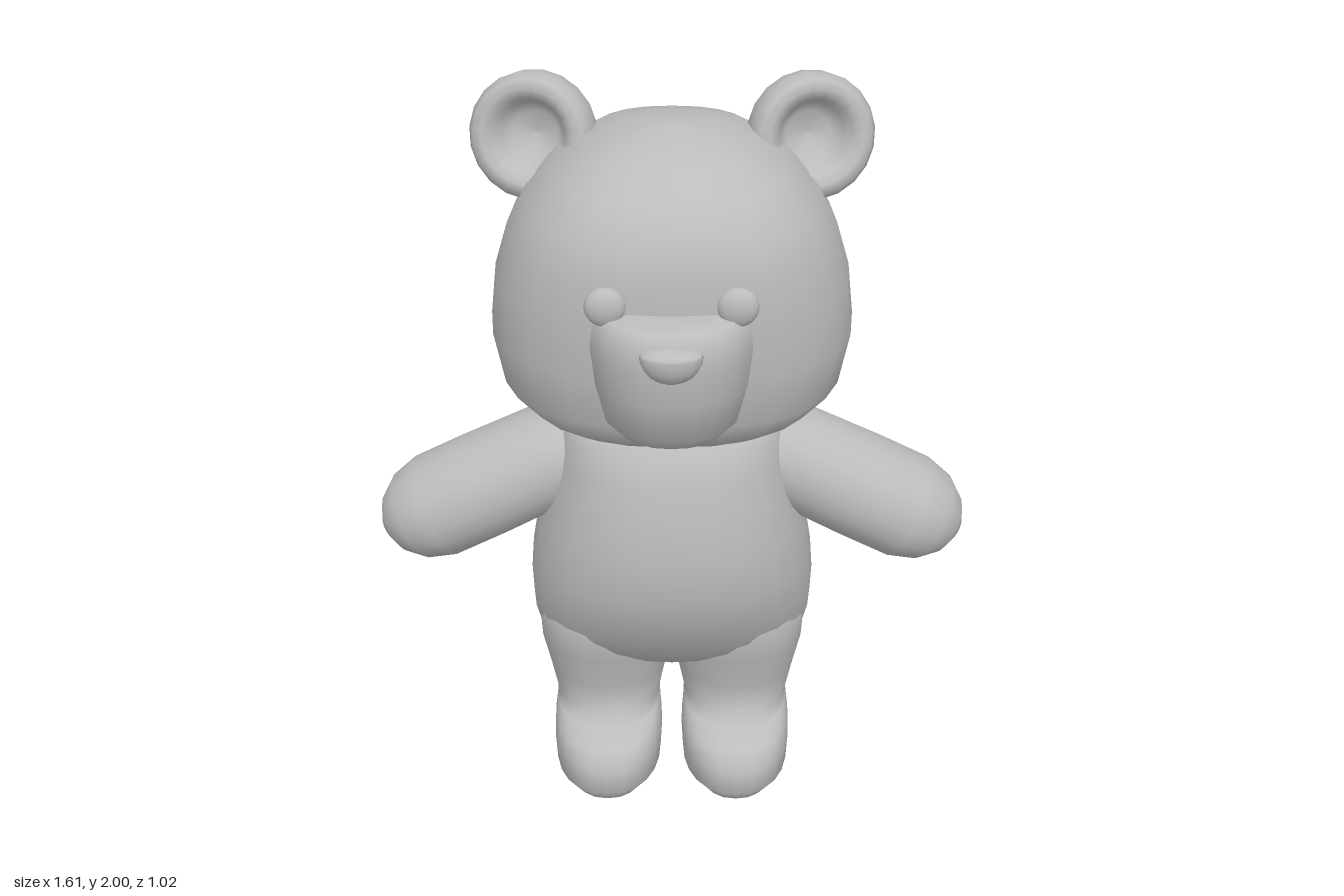
import * as THREE from 'three';

const fur = new THREE.MeshStandardMaterial({ color: 0xbcbcbc });
fur.name = 'plain grey';

// Closed skin over horizontal rounded rings: [y, half width, back z, front z].
// Repeating a ring makes a hard edge there.
function loft(rings, cx = 0, power = 2.3, segments = 24) {
  const pos = [], index = [];
  const round = (v) => Math.sign(v) * Math.pow(Math.abs(v), 2 / power);
  for (const [y, rx, back, front] of rings) {
    const cz = (front + back) / 2, rz = (front - back) / 2;
    for (let i = 0; i < segments; i++) {
      const t = (i / segments) * Math.PI * 2;
      pos.push(cx + rx * round(Math.cos(t)), y, cz + rz * round(Math.sin(t)));
    }
  }
  const last = (rings.length - 1) * segments;
  const bottom = rings.length * segments, top = bottom + 1;
  for (const [y, , back, front] of [rings[0], rings[rings.length - 1]]) {
    pos.push(cx, y, (front + back) / 2);
  }
  for (let i = 0; i < segments; i++) {
    const k = (i + 1) % segments;
    for (let j = 0; j < last; j += segments) {
      const a = j + i, b = j + k, c = a + segments, d = b + segments;
      index.push(a, c, b, b, c, d);
    }
    index.push(bottom, i, k, top, last + k, last + i);
  }
  const geo = new THREE.BufferGeometry();
  geo.setAttribute('position', new THREE.Float32BufferAttribute(pos, 3));
  geo.setIndex(index);
  geo.computeVertexNormals();
  return geo;
}

export function createModel() {
  const model = new THREE.Group();
  model.name = 'teddyBear';
  const add = (name, geo, x = 0, y = 0, z = 0) => {
    const mesh = new THREE.Mesh(geo, fur);
    mesh.name = name;
    mesh.position.set(x, y, z);
    model.add(mesh);
    return mesh;
  };

  // Broad head, wider at the cheeks
  add('head', loft([
    [1.09, 0.26, -0.27, 0.18], [1.11, 0.32, -0.33, 0.23], [1.15, 0.385, -0.4, 0.29],
    [1.22, 0.45, -0.45, 0.335], [1.36, 0.48, -0.5, 0.355], [1.5, 0.465, -0.51, 0.36],
    [1.62, 0.43, -0.485, 0.358], [1.72, 0.38, -0.44, 0.335], [1.8, 0.305, -0.38, 0.275],
    [1.86, 0.215, -0.28, 0.18], [1.89, 0.12, -0.17, 0.07], [1.903, 0.03, -0.08, -0.02],
  ], 0, 2.4));

  // Muzzle with a flat top
  add('muzzle', loft([
    [1.13, 0.1, 0, 0.25], [1.18, 0.15, -0.04, 0.36], [1.24, 0.185, -0.04, 0.435],
    [1.35, 0.21, -0.06, 0.47], [1.45, 0.22, -0.06, 0.48], [1.51, 0.215, -0.06, 0.475],
    [1.54, 0.195, -0.05, 0.45], [1.55, 0.15, -0.02, 0.4],
  ]));

  // Nose: a ball with its upper half flattened
  const nose = new THREE.SphereGeometry(1, 16, 12);
  const p = nose.attributes.position;
  for (let i = 0; i < p.count; i++) {
    p.setXYZ(i, p.getX(i) * 0.078, p.getY(i) * (p.getY(i) > 0 ? 0.023 : 0.073), p.getZ(i) * 0.047);
  }
  nose.computeVertexNormals();
  add('nose', nose, 0, 1.495, 0.466);

  // Torso with round belly and rump
  add('body', loft([
    [0.34, 0.16, -0.14, 0.1], [0.38, 0.3, -0.2, 0.155], [0.43, 0.375, -0.27, 0.205],
    [0.5, 0.393, -0.335, 0.25], [0.58, 0.396, -0.373, 0.295], [0.68, 0.388, -0.385, 0.328],
    [0.8, 0.368, -0.377, 0.335], [0.92, 0.338, -0.352, 0.32], [1.02, 0.315, -0.318, 0.298],
    [1.08, 0.305, -0.283, 0.275], [1.13, 0.28, -0.24, 0.24],
  ]));

  // Cupped ear, spun around its facing direction
  const earGeo = new THREE.LatheGeometry([
    [0, -0.21], [0.05, -0.203], [0.1, -0.178], [0.142, -0.125], [0.165, -0.055],
    [0.167, 0], [0.15, 0.026], [0.125, 0.032], [0.1, 0.018], [0.087, -0.015],
    [0.06, -0.048], [0, -0.06],
  ].map(([r, h]) => new THREE.Vector2(r, h)), 20);

  // Arm along +y, shoulder at the origin
  const armGeo = loft([
    [0, 0.09], [0.05, 0.125], [0.15, 0.14], [0.35, 0.145], [0.5, 0.145],
    [0.58, 0.123], [0.63, 0.085], [0.66, 0.035],
  ].map(([y, r]) => [y, r, -r * 1.1, r * 1.1]), 0, 2.05, 20);

  const eyeGeo = new THREE.SphereGeometry(0.052, 16, 12).scale(1, 1, 0.55);
  const up = new THREE.Vector3(0, 1, 0);

  for (const [side, s] of [['left', 1], ['right', -1]]) {
    const ear = add(side + 'Ear', earGeo, s * 0.365, 1.833, -0.125);
    ear.quaternion.setFromUnitVectors(up, new THREE.Vector3(s * 0.25, 0.2, 1).normalize());

    add(side + 'Eye', eyeGeo, s * 0.163, 1.57, 0.347);
    add(side + 'Arm', armGeo, s * 0.2, 1.03, 0).rotation.z = -s * 2.04;

    // Leg and foot in one skin, with a flat sole
    add(side + 'Leg', loft([
      [0, 0.115, -0.135, 0.285], [0, 0.115, -0.135, 0.285], [0.045, 0.15, -0.165, 0.32],
      [0.12, 0.154, -0.168, 0.325], [0.165, 0.152, -0.17, 0.285], [0.19, 0.148, -0.171, 0.21],
      [0.205, 0.147, -0.172, 0.15], [0.3, 0.167, -0.192, 0.162], [0.4, 0.19, -0.22, 0.185],
      [0.5, 0.195, -0.24, 0.21], [0.6, 0.15, -0.2, 0.18],
    ], s * (0.178 + 0.004), 2.3));
  }
  return model;
}
